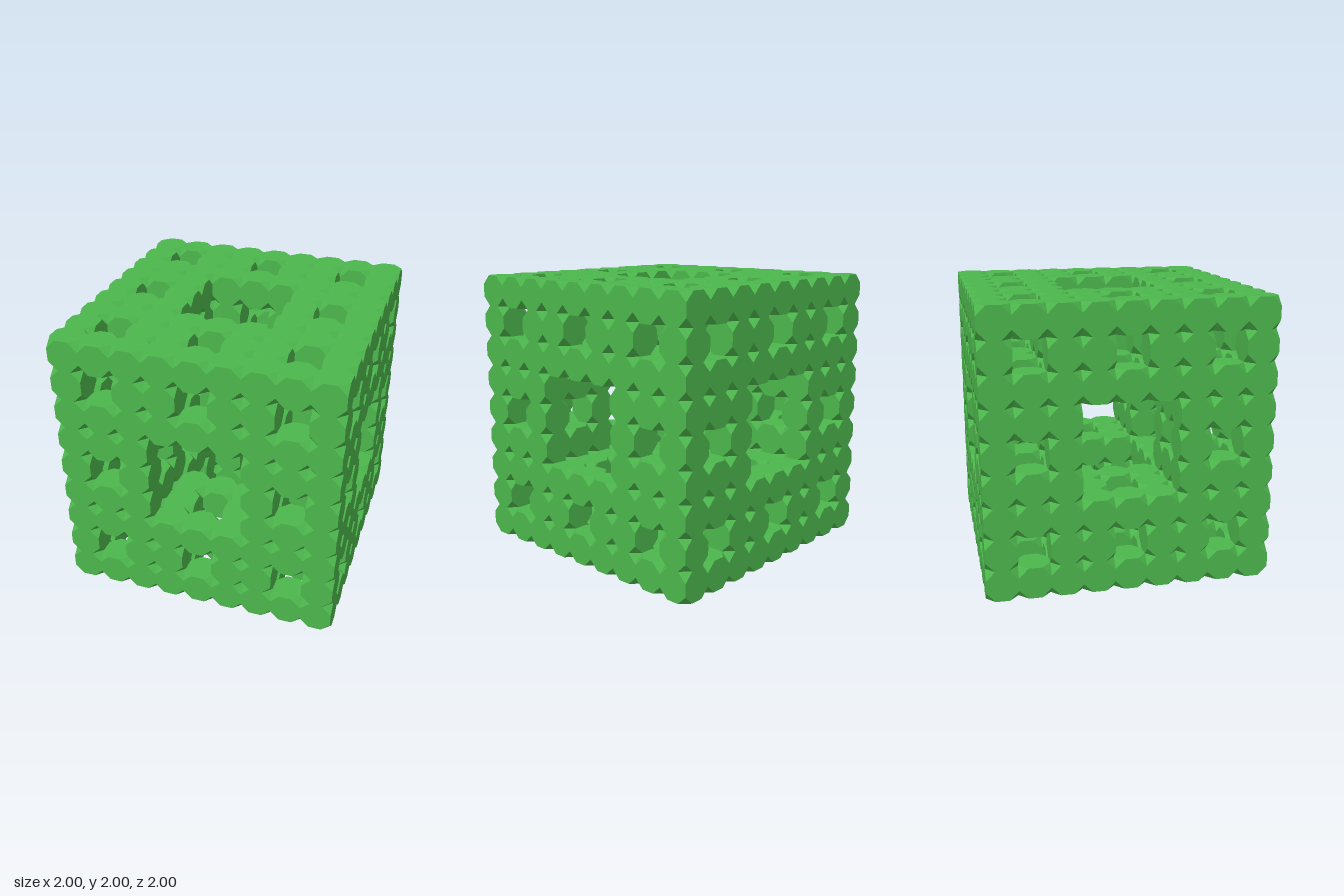
import * as THREE from 'three';

const N = 9;                       // cells per side
const H = 1 / N;                   // half a cell
const C = H * (Math.SQRT2 - 1);    // half the edge left between two cut corners

// A cell is a hole if, at either scale, at least two of its coordinates are central
function filled(p) {
  if (p.some(v => v < 0 || v >= N)) return false;
  const central = f => p.filter(v => f(v) === 1).length;
  return central(v => v % 3) < 2 && central(v => Math.floor(v / 3)) < 2;
}

function createSpongeGeometry() {
  const positions = [];
  // Convex face as a triangle fan, reversed when mirrored
  const addFace = (center, points, mirrored) => {
    const ring = mirrored ? [...points].reverse() : points;
    for (let i = 1; i < ring.length - 1; i++) {
      for (const q of [ring[0], ring[i], ring[i + 1]]) {
        positions.push(center[0] + q[0], center[1] + q[1], center[2] + q[2]);
      }
    }
  };
  const octagon = [[H, -C], [H, C], [C, H], [-C, H], [-H, C], [-H, -C], [-C, -H], [C, -H]];

  const addCell = cell => {
    const center = cell.map(v => (2 * v + 1) * H - 1);
    center[1] += 1;
    for (const s of [-1, 1]) {
      // Octagonal sides, only where no neighbour covers them
      for (let axis = 0; axis < 3; axis++) {
        const next = [...cell];
        next[axis] += s;
        if (filled(next)) continue;
        const points = octagon.map(([u, v]) => {
          const q = [0, 0, 0];
          q[axis] = s * H;
          q[(axis + 1) % 3] = u;
          q[(axis + 2) % 3] = v;
          return q;
        });
        addFace(center, points, s < 0);
      }
      // Triangular cut corners
      for (const t of [-1, 1]) for (const w of [-1, 1]) {
        const points = [[s * C, t * H, w * H], [s * H, t * C, w * H], [s * H, t * H, w * C]];
        addFace(center, points, s * t * w < 0);
      }
    }
  };

  for (let x = 0; x < N; x++)
    for (let y = 0; y < N; y++)
      for (let z = 0; z < N; z++)
        if (filled([x, y, z])) addCell([x, y, z]);

  const geometry = new THREE.BufferGeometry();
  geometry.setAttribute('position', new THREE.Float32BufferAttribute(positions, 3));
  geometry.computeVertexNormals();
  return geometry;
}

export function createModel() {
  const group = new THREE.Group();
  group.name = 'fractalSponge';
  const material = new THREE.MeshStandardMaterial({ color: 0x4cb64c, flatShading: true });
  const sponge = new THREE.Mesh(createSpongeGeometry(), material);
  sponge.name = 'truncatedCubeLattice';
  group.add(sponge);
  return group;
}
